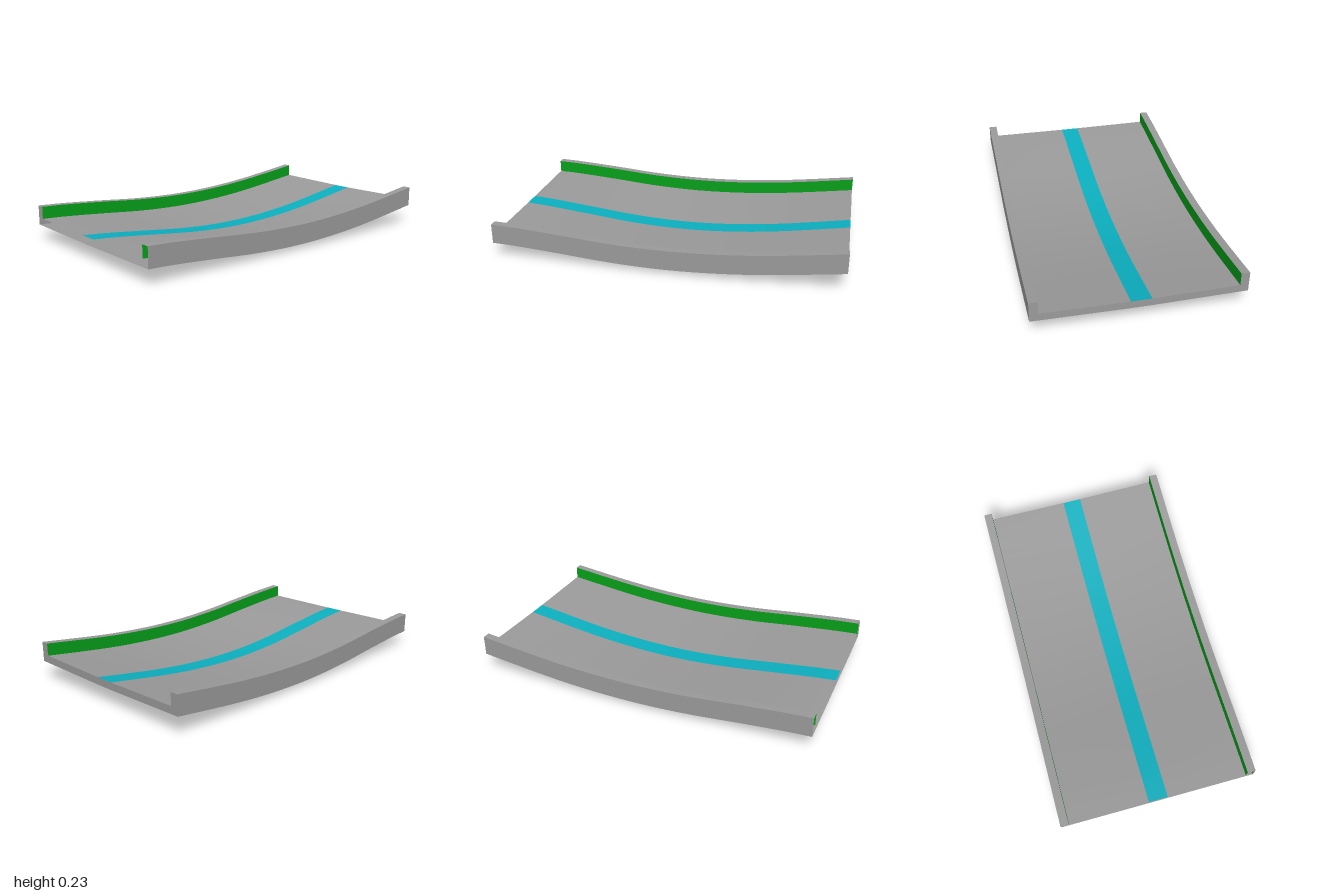
import * as THREE from 'three';
import { mergeGeometries } from 'three/addons/utils/BufferGeometryUtils.js';

const HALF = 0.572, INNER = 0.525, STRIPE = 0.056; // half widths along z
const WALL = 0.115, DECK = 0.043; // wall height, deck thickness
const STEPS = 32;

// Height of the outer lower edge along x, and how far the middle dips below it
const path = new THREE.SplineCurve([
  [-1, 0.088], [-0.85, 0.081], [-0.6, 0.062], [-0.3, 0.037], [0, 0.027],
  [0.3, 0.036], [0.6, 0.062], [1, 0.114],
].map(([x, y]) => new THREE.Vector2(x, y)));

function station(t) {
  const { x, y } = path.getPoint(t);
  const end = x < 0 ? 0.003 : 0.007;
  const dip = end + (0.027 - end) * Math.cos(Math.PI * x / 2);
  return { x, y, dip };
}

// Closed trough section as [z, y], from the back lower corner
function section({ y, dip }) {
  const foot = DECK - dip * (HALF - INNER) / (HALF - STRIPE);
  return [
    [-HALF, 0], [-STRIPE, -dip], [STRIPE, -dip], [HALF, 0],
    [HALF, WALL], [INNER, WALL], [INNER, foot],
    [STRIPE, DECK - dip], [-STRIPE, DECK - dip],
    [-INNER, foot], [-INNER, WALL], [-HALF, WALL],
  ].map(([z, h]) => [z, y + h]);
}

const stations = Array.from({ length: STEPS + 1 }, (_, i) => station(i / STEPS));
const sections = stations.map(section);

// Long band swept between section corner k and the next one
function band(k) {
  const pos = [], index = [];
  sections.forEach((s, i) => {
    for (const [z, y] of [s[k], s[(k + 1) % s.length]]) pos.push(stations[i].x, y, z);
    const a = 2 * i;
    if (i < STEPS) index.push(a, a + 2, a + 1, a + 1, a + 2, a + 3);
  });
  const g = new THREE.BufferGeometry();
  g.setAttribute('position', new THREE.Float32BufferAttribute(pos, 3));
  g.setIndex(index);
  g.computeVertexNormals();
  return g;
}

// Flat face closing the +x end; the -x end stays open
function endCap() {
  const shape = new THREE.Shape(sections[STEPS].map(([z, y]) => new THREE.Vector2(-z, y)));
  return new THREE.ShapeGeometry(shape).rotateY(Math.PI / 2).translate(stations[STEPS].x, 0, 0);
}

export function createModel() {
  const model = new THREE.Group();
  model.name = 'curvedTrack';
  const grey = 0x9b9b9b, cyan = 0x0cb0c0, green = 0x06a11a;
  const add = (name, color, geometries) => {
    const material = new THREE.MeshStandardMaterial({ color, side: THREE.DoubleSide });
    const mesh = new THREE.Mesh(mergeGeometries(geometries), material);
    mesh.name = name;
    model.add(mesh);
  };
  add('underside', grey, [0, 1, 2].map(band));
  add('deck', grey, [6, 8].map(band));
  add('centreStripe', cyan, [band(7)]);
  add('frontWall', grey, [3, 4].map(band));
  add('backWall', grey, [10, 11].map(band));
  add('frontWallLining', green, [band(5)]);
  add('backWallLining', green, [band(9)]);
  add('endFace', grey, [endCap()]);
  return model;
}
